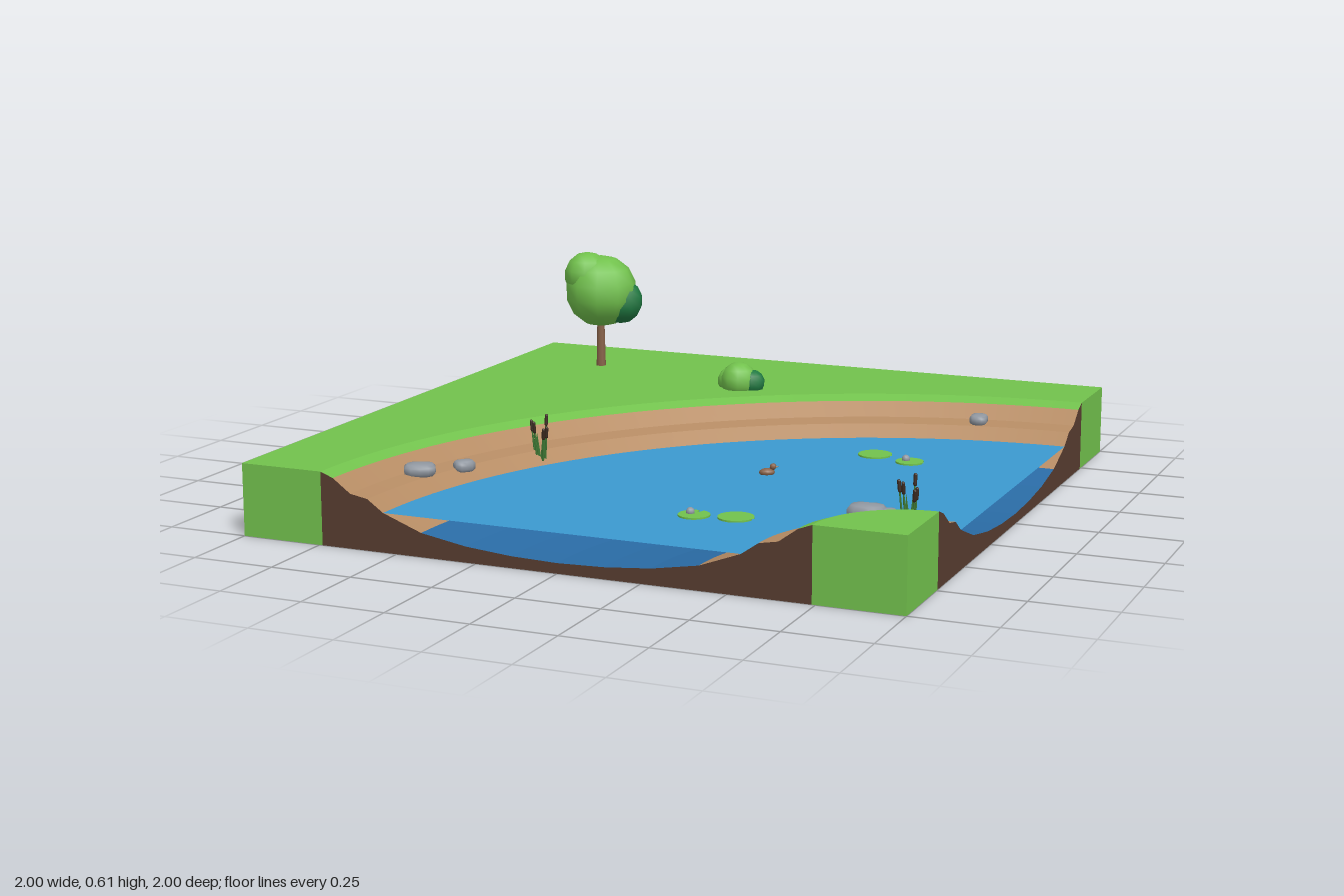
import * as THREE from 'three';
import { mergeGeometries } from 'three/addons/utils/BufferGeometryUtils.js';

const mat = (name, color, side = THREE.FrontSide) => {
  const m = new THREE.MeshStandardMaterial({ color, side });
  m.name = name;
  return m;
};

export function createModel() {
  const model = new THREE.Group();
  const M = {
    grass: mat('grass green', 0x72c24d, THREE.DoubleSide),
    sand: mat('sand', 0xb68c64),
    soil: mat('soil brown', 0x583d30),
    water: mat('water blue', 0x3b99d0, THREE.DoubleSide),
    deep: mat('deep water blue', 0x2a6ca6),
    darkLeaf: mat('dark leaf green', 0x217a42),
    trunk: mat('bark brown', 0x876148),
    rock: mat('stone grey', 0x9097a0),
    reed: mat('reed green', 0x3f7a35),
    head: mat('reed head brown', 0x3a281e),
  };
  const add = (name, geo, material, x = 0, y = 0, z = 0, parent = model) => {
    const mesh = new THREE.Mesh(geo, material);
    mesh.name = name;
    mesh.position.set(x, y, z);
    parent.add(mesh);
    return mesh;
  };
  const group = (name, x, y, z) => {
    const g = new THREE.Group();
    g.name = name;
    g.position.set(x, y, z);
    model.add(g);
    return g;
  };

  const TOP = 0.215, WATER = 0.115, SEG = 48, Q = Math.PI / 2;
  // Half of the channel section: distance from the middle of the river, height
  const half = [[0.74, TOP], [0.7, 0.2], [0.645, 0.16], [0.59, 0.15], [0.54, WATER],
    [0.42, 0.07], [0.28, 0.046], [0.14, 0.034], [0, 0.03]];
  const section = [...half, ...half.slice(0, -1).reverse().map(([s, y]) => [-s, y])];

  // Grass blocks outside and inside the bend
  const outer = new THREE.Shape();
  outer.moveTo(-1, -1);
  outer.lineTo(-0.74, -1);
  outer.absarc(1, -1, 1.74, Math.PI, Q, true);
  outer.lineTo(1, 1);
  outer.lineTo(-1, 1);
  outer.lineTo(-1, -1);
  const inner = new THREE.Shape();
  inner.moveTo(1, -1);
  inner.lineTo(0.74, -1);
  inner.absarc(1, -1, 0.26, Math.PI, Q, true);
  inner.lineTo(1, -1);
  for (const [name, shape] of [['outerGrass', outer], ['innerGrass', inner]]) {
    const geo = new THREE.ExtrudeGeometry(shape, { depth: TOP, bevelEnabled: false, curveSegments: SEG / 2 });
    add(name, geo.rotateX(-Q), M.grass);
  }

  // Curved banks and river bed, swept a quarter turn about the corner
  const bands = { grass: [], sand: [], deep: [] };
  for (let i = 0; i < section.length - 1; i++) {
    const [a, b] = [section[i], section[i + 1]];
    const mid = Math.abs(a[0] + b[0]) / 2;
    const kind = mid > 0.7 ? 'grass' : mid > 0.42 ? 'sand' : 'deep';
    const pts = [a, b].map(([s, y]) => new THREE.Vector2(1 + s, y));
    bands[kind].push(new THREE.LatheGeometry(pts, SEG, Math.PI, Q));
  }
  add('grassLip', mergeGeometries(bands.grass), M.grass, 1, 0, 1);
  add('sandBank', mergeGeometries(bands.sand), M.sand, 1, 0, 1);
  add('riverBed', mergeGeometries(bands.deep), M.deep, 1, 0, 1);

  // Soil: cut faces at the front and right, and the underside
  const cut = new THREE.Shape([[0.74, 0], ...section, [-0.74, 0]].map(([x, y]) => new THREE.Vector2(x, y)));
  add('frontSoil', new THREE.ShapeGeometry(cut), M.soil, 0, 0, 1);
  add('rightSoil', new THREE.ShapeGeometry(cut).rotateY(Q), M.soil, 1, 0, 0);
  add('soilUnderside', new THREE.RingGeometry(0.26, 1.74, SEG, 1, Math.PI, Q).rotateX(Q), M.soil, 1, 0, 1);

  // Water surface
  add('waterSurface', new THREE.RingGeometry(0.46, 1.54, SEG, 1, Q, Q).rotateX(-Q), M.water, 1, WATER, 1);

  // Tree and bush made of leafy balls
  const leaves = (parent, balls) => balls.forEach(([m, r, x, y, z]) =>
    add('leaves', new THREE.SphereGeometry(r, 10, 7), M[m], x, y, z, parent));
  const tree = group('tree', -0.667, TOP, -0.695);
  add('trunk', new THREE.CylinderGeometry(0.012, 0.017, 0.2, 8), M.trunk, 0, 0.09, 0, tree);
  leaves(tree, [['grass', 0.122, 0, 0.257, -0.005], ['grass', 0.078, -0.04, 0.313, 0.02],
    ['darkLeaf', 0.076, 0.063, 0.222, -0.025]]);
  const bush = group('bush', -0.09, TOP, -0.525);
  leaves(bush, [['grass', 0.06, 0, 0.026, 0], ['grass', 0.042, -0.037, 0.02, -0.016],
    ['darkLeaf', 0.042, 0.043, 0.02, -0.01]]);

  // Rocks: squashed boxy stones (x, y, z, half sizes, turn)
  const rocks = [[-0.59, 0.168, 0.7, 0.046, 0.02, 0.034, 0.5], [-0.52, 0.155, 0.56, 0.031, 0.018, 0.024, 0.9],
    [0.705, 0.165, -0.595, 0.027, 0.017, 0.033, 0.1], [0.775, 0.17, 0.672, 0.054, 0.028, 0.036, 0.1],
    [0.832, 0.172, 0.662, 0.024, 0.016, 0.02, 0.4]];
  for (const [x, y, z, a, b, c, turn] of rocks) {
    const geo = new THREE.SphereGeometry(1, 12, 8);
    const p = geo.attributes.position;
    for (let i = 0; i < p.count; i++) {
      const v = new THREE.Vector3().fromBufferAttribute(p, i);
      const k = (v.x ** 4 + v.y ** 4 + v.z ** 4) ** -0.25;
      p.setXYZ(i, v.x * k * a, v.y * k * b, v.z * k * c);
    }
    geo.computeVertexNormals();
    add('rock', geo, M.rock, x, y, z).rotation.y = turn;
  }

  // Reed clumps: stalks with dark heads and pointed blades
  for (const [cx, cy, cz] of [[-0.402, 0.125, 0.287], [0.875, 0.135, 0.6]]) {
    const clump = group('reeds', cx, cy, cz);
    for (let i = 0; i < 5; i++) {
      const a = i * 2.4, r = 0.012 + 0.003 * i, h = 0.085 + 0.016 * (i % 3);
      const x = r * Math.cos(a), z = r * Math.sin(a);
      const stalk = group('stalk', x, 0, z);
      clump.add(stalk);
      stalk.rotation.set(z * 5, 0, -x * 5);
      add('stem', new THREE.CylinderGeometry(0.0025, 0.0035, h, 5), M.reed, 0, h / 2, 0, stalk);
      add('reedHead', new THREE.CapsuleGeometry(0.0055, 0.026, 3, 6), M.head, 0, h, 0, stalk);
      add('blade', new THREE.ConeGeometry(0.007, 0.085, 4), M.reed, -x / 2, 0.042, -z / 2, stalk);
    }
  }

  // Lily pads with a notch (x, z, radius, notch direction), two carrying a bud
  const pads = [[0.497, -0.195, 0.052, 0, false], [0.625, -0.145, 0.043, 0, true],
    [0.273, 0.69, 0.046, 1.5, true], [0.39, 0.668, 0.052, 0, false]];
  for (const [x, z, r, turn, bud] of pads) {
    const pad = new THREE.CylinderGeometry(r, r, 0.005, 20, 1, false, Q + turn + 0.15, Math.PI * 2 - 0.3);
    add('lilyPad', pad, M.grass, x, WATER + 0.004, z);
    if (bud) add('lilyBud', new THREE.SphereGeometry(0.013, 10, 7), M.rock, x - 0.014, WATER + 0.01, z - 0.006);
  }

  // Small duck
  const duck = group('duck', 0.28, WATER + 0.006, 0.157);
  duck.rotation.y = 0.5;
  add('duckBody', new THREE.SphereGeometry(0.016, 12, 8).scale(1.5, 0.8, 1), M.trunk, 0, 0, 0, duck);
  add('duckHead', new THREE.SphereGeometry(0.01, 10, 7), M.trunk, 0.018, 0.017, 0, duck);
  add('duckBeak', new THREE.ConeGeometry(0.004, 0.012, 6).rotateZ(-Q), M.sand, 0.03, 0.016, 0, duck);
  return model;
}
